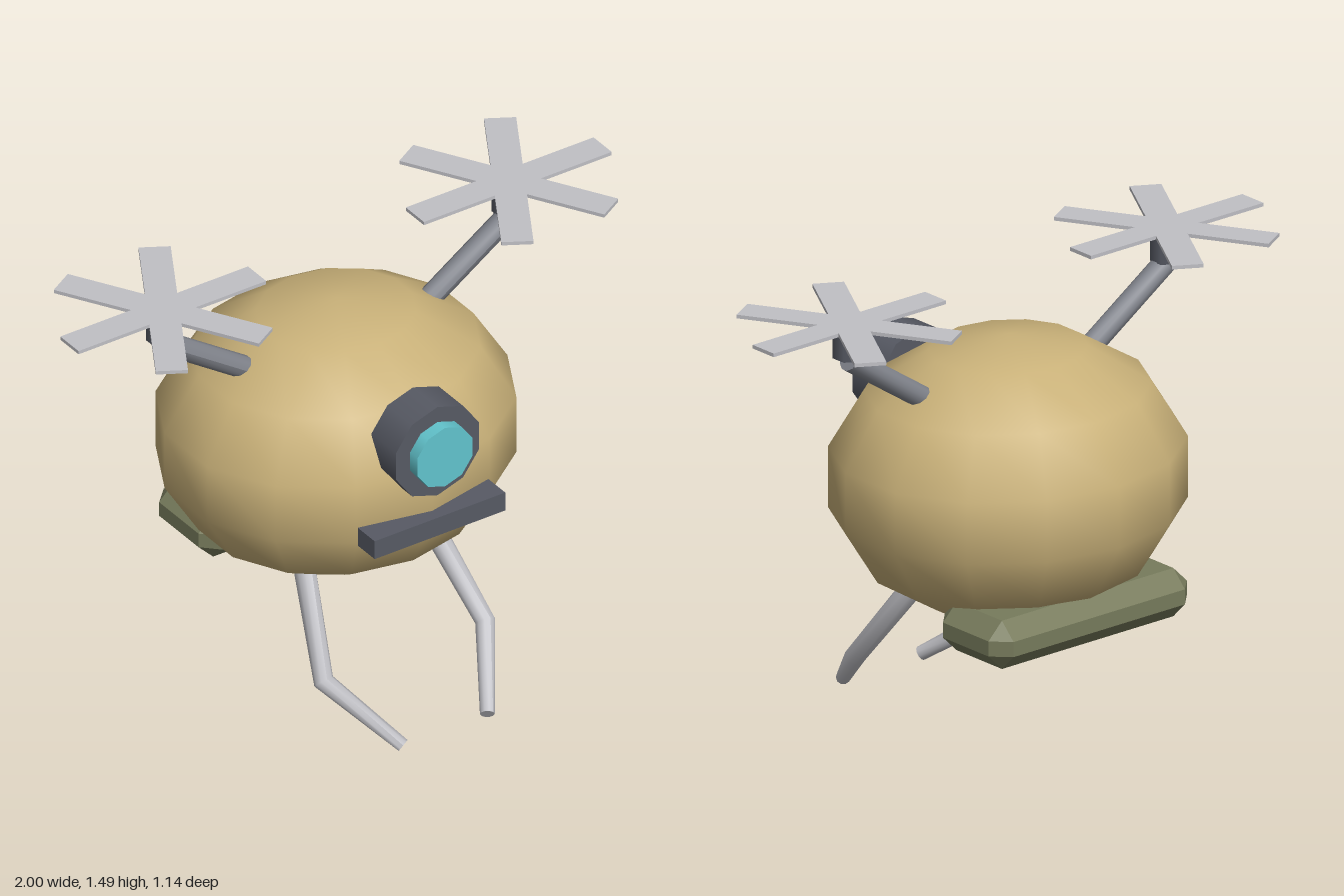
import * as THREE from 'three';
import { ConvexGeometry } from 'three/addons/geometries/ConvexGeometry.js';

const mat = (name, color) => {
  const m = new THREE.MeshStandardMaterial({ color });
  m.name = name;
  return m;
};

export function createModel() {
  const tan = mat('tan shell', 0xc9b179);
  const dark = mat('dark grey', 0x575a64);
  const steel = mat('steel grey', 0x81848c);
  const pale = mat('pale grey', 0xc0c0c5);
  const cyan = mat('cyan glass', 0x62c4cd);
  const olive = mat('olive', 0x777b5c);
  const model = new THREE.Group();
  model.name = 'drone';
  const Z = -0.042; // depth of the body and rotor axis

  const add = (name, geometry, material, x = 0, y = 0, z = 0, parent = model) => {
    const mesh = new THREE.Mesh(geometry, material);
    mesh.name = name;
    mesh.position.set(x, y, z);
    parent.add(mesh);
    return mesh;
  };

  // Tapered limb through a list of points, mitred at the joints
  const limb = (points, radii, sides) => {
    const rows = points.length - 1;
    const g = new THREE.CylinderGeometry(1, 1, rows, sides, rows);
    const frames = points.map((p, i) => {
      const a = points[Math.max(i - 1, 0)], b = points[Math.min(i + 1, rows)];
      const t = b.clone().sub(a).normalize();
      const v = new THREE.Vector3(0, 0, 1).addScaledVector(t, -t.z).normalize();
      return { p, v, u: t.clone().cross(v), r: radii[i] };
    });
    const pos = g.attributes.position;
    for (let i = 0; i < pos.count; i++) {
      const f = frames[Math.round(pos.getY(i) + rows / 2)];
      const q = f.p.clone()
        .addScaledVector(f.u, -pos.getX(i) * f.r * -1)
        .addScaledVector(f.v, pos.getZ(i) * f.r);
      pos.setXYZ(i, q.x, q.y, q.z);
    }
    g.computeVertexNormals();
    return g;
  };
  const V = (x, y, z) => new THREE.Vector3(x, y, z);

  // Egg-shaped body
  const shell = new THREE.SphereGeometry(1, 14, 7).rotateY(Math.PI / 2).scale(0.592, 0.457, 0.542);
  add('body', shell, tan, 0, 0.833, Z);

  // Eye housing, lens and mouth bar; decagons with a corner at the top
  const disc = (r, depth) => new THREE.CylinderGeometry(r, r, depth, 10).rotateX(Math.PI / 2);
  add('eyeHousing', disc(0.163, 0.135), dark, 0, 1.023, 0.4475);
  add('eyeLens', disc(0.108, 0.1), cyan, 0, 1.023, 0.506);
  add('mouthBar', new THREE.BoxGeometry(0.49, 0.066, 0.093), dark, 0, 0.754, 0.482);

  // Chamfered pod under the rear
  const half = [0.405, 0.08, 0.163], c = 0.055, corners = [];
  for (const sx of [-1, 1]) for (const sy of [-1, 1]) for (const sz of [-1, 1]) {
    for (let k = 0; k < 3; k++) {
      const h = half.map((d, i) => (i === k ? d : d - c));
      corners.push(V(sx * h[0], sy * h[1], sz * h[2]));
    }
  }
  add('rearPod', new ConvexGeometry(corners), olive, 0, 0.455, -0.312);

  // Rotors, arms and legs on both sides
  for (const s of [-1, 1]) {
    const side = s > 0 ? 'left' : 'right';
    add(side + 'Arm', limb([V(s * 0.24, 1.093, Z + 0.005), V(s * 0.645, 1.363, Z + 0.005)], [0.037, 0.037], 10), steel);
    add(side + 'Motor', new THREE.CylinderGeometry(0.053, 0.053, 0.104, 6), dark, s * 0.648, 1.426, Z);

    const rotor = new THREE.Group();
    rotor.name = side + 'Rotor';
    rotor.position.set(s * 0.648, 1.482, Z);
    model.add(rotor);
    for (let i = 0; i < 3; i++) {
      const blade = add('blade', new THREE.BoxGeometry(0.704, 0.012, 0.1), pale, 0, 0, 0, rotor);
      blade.rotation.y = i * Math.PI / 3;
    }

    add(side + 'Leg', limb(
      [V(s * 0.158, 0.016, 0.557), V(s * 0.303, 0.186, 0.333), V(s * 0.235, 0.465, 0.13)],
      [0.023, 0.033, 0.036], 10), pale);
  }
  return model;
}
